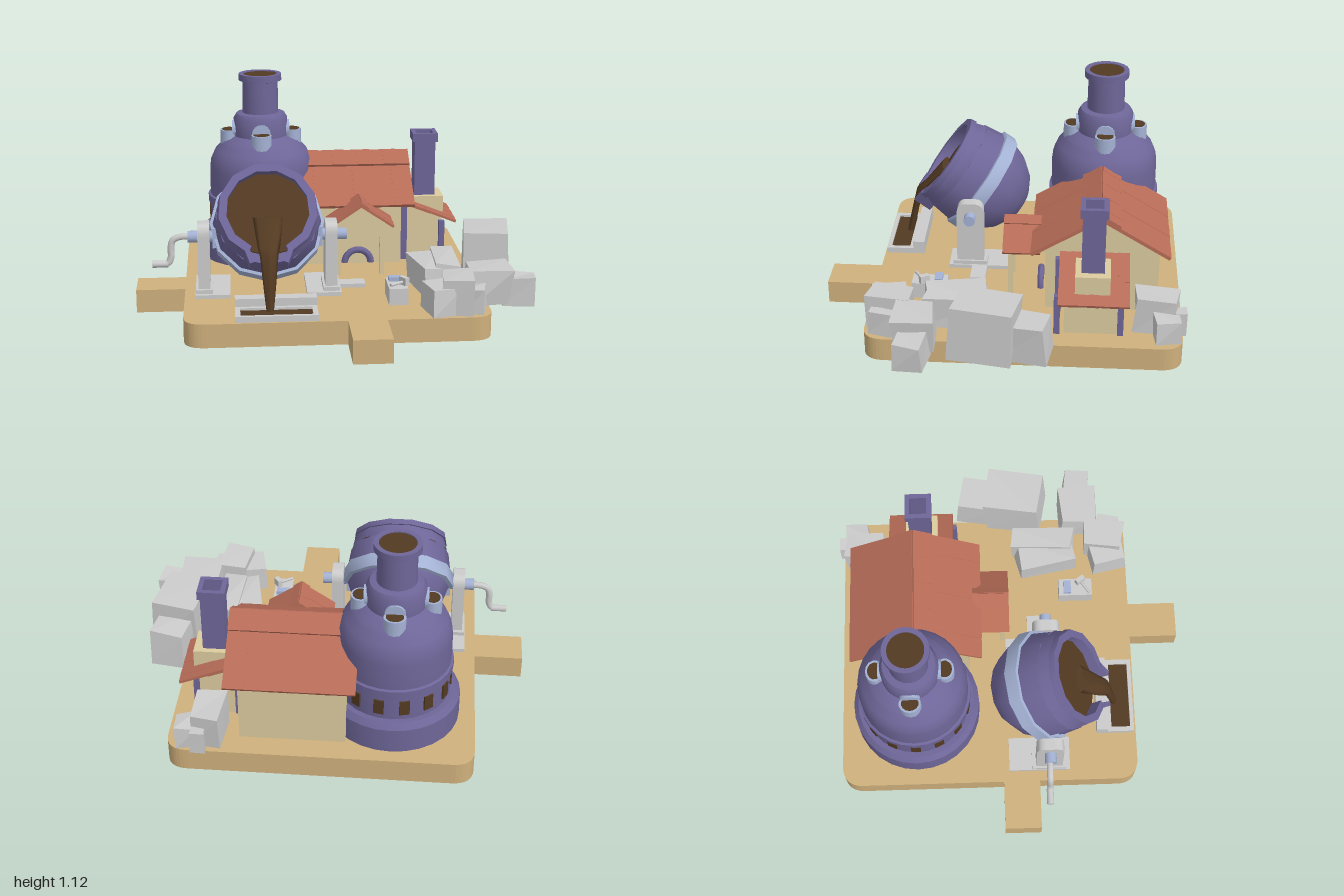
import * as THREE from 'three';
import { toCreasedNormals } from 'three/addons/utils/BufferGeometryUtils.js';

const mat = (color, flat = false) =>
  new THREE.MeshStandardMaterial({ color, side: THREE.DoubleSide, flatShading: flat });
const earth = mat(0xcfb07c), wall = mat(0xdccb9e), tile = mat(0xb86d58), iron = mat(0x6e6698);
const steel = mat(0xa4b2d4), slag = mat(0x533a22), grey = mat(0xcccccc), rock = mat(0xcccccc, true);
const V3 = (x, y, z) => new THREE.Vector3(x, y, z);
const V2 = (p) => p.map(([x, y]) => new THREE.Vector2(x, y));

function add(parent, name, geo, material, x = 0, y = 0, z = 0) {
  const m = new THREE.Mesh(geo, material);
  m.name = name;
  m.position.set(x, y, z);
  parent.add(m);
  return m;
}
function group(parent, name, x = 0, y = 0, z = 0) {
  const g = new THREE.Group();
  g.name = name;
  g.position.set(x, y, z);
  parent.add(g);
  return g;
}
// Box given by its limits on each axis
const block = (parent, name, material, x0, x1, y0, y1, z0, z1) =>
  add(parent, name, new THREE.BoxGeometry(x1 - x0, y1 - y0, z1 - z0), material,
    (x0 + x1) / 2, (y0 + y1) / 2, (z0 + z1) / 2);
const lathe = (pts, seg, start = 0, len = Math.PI * 2) =>
  toCreasedNormals(new THREE.LatheGeometry(V2(pts), seg, start, len), 0.6);
const extrude = (shape, depth) =>
  new THREE.ExtrudeGeometry(shape, { depth, bevelEnabled: false, curveSegments: 10 });

// Course of roof tiles, side by side along x, sloping from [z, y] to [z, y]
function tiles(parent, from, to, x0, x1, count, thick) {
  const dz = to[0] - from[0], dy = to[1] - from[1], w = (x1 - x0) / count;
  for (let i = 0; i < count; i++) {
    const t = thick * (i % 2 ? 1 : 0.8);
    const m = add(parent, 'roofTile', new THREE.BoxGeometry(w, t, Math.hypot(dz, dy)), tile,
      x0 + w * (i + 0.5), (from[1] + to[1]) / 2, (from[0] + to[0]) / 2);
    m.rotation.x = Math.atan2(-dy, dz);
  }
}

// Hollow ground slab with two path stubs
function buildGround(root) {
  const s = new THREE.Shape(), r = 0.11;
  s.moveTo(-0.75 + r, -0.9).lineTo(0.75 - r, -0.9).quadraticCurveTo(0.75, -0.9, 0.75, -0.9 + r);
  s.lineTo(0.75, 0.66 - r).quadraticCurveTo(0.75, 0.66, 0.75 - r, 0.66);
  for (const [x, z] of [[0.23, 0.66], [0.23, 0.915], [0.04, 0.915], [0.04, 0.66], [-0.75 + r, 0.66]]) s.lineTo(x, z);
  s.quadraticCurveTo(-0.75, 0.66, -0.75, 0.66 - r);
  for (const [x, z] of [[-0.75, 0.14], [-1, 0.14], [-1, -0.05], [-0.75, -0.05], [-0.75, -0.9 + r]]) s.lineTo(x, z);
  s.quadraticCurveTo(-0.75, -0.9, -0.75 + r, -0.9);
  const full = extrude(s, 0.12), side = full.groups[1], rim = new THREE.BufferGeometry();
  rim.setAttribute('position', new THREE.BufferAttribute(
    full.attributes.position.array.slice(side.start * 3, (side.start + side.count) * 3), 3));
  rim.computeVertexNormals();
  add(root, 'groundSides', rim.rotateX(Math.PI / 2), earth, 0, 0.12, 0);
  const top = new THREE.ShapeGeometry(s).scale(1, -1, 1).rotateX(-Math.PI / 2);
  const index = top.index.array;
  for (let i = 0; i < index.length; i += 3) [index[i], index[i + 1]] = [index[i + 1], index[i]];
  top.computeVertexNormals();
  if (top.attributes.normal.getY(0) < 0) top.attributes.normal.array.forEach((n, i, a) => { a[i] = -n; });
  add(root, 'groundTop', top, earth, 0, 0.12, 0);
}

// Tall smelting furnace
function buildFurnace(root) {
  const g = group(root, 'furnace', -0.34, 0, -0.5);
  add(g, 'furnaceBody', lathe([[0.33, 0.12], [0.33, 0.25], [0.305, 0.28], [0.278, 0.28], [0.278, 0.41], [0.29, 0.415],
    [0.29, 0.455], [0.278, 0.46], [0.278, 0.6], [0.272, 0.65], [0.25, 0.7], [0.215, 0.735], [0.205, 0.75], [0.145, 0.78],
    [0.145, 0.875], [0.13, 0.9], [0.097, 0.905], [0.095, 1.075], [0.115, 1.08], [0.115, 1.115], [0.09, 1.115],
    [0.088, 1.09]], 28), iron);
  add(g, 'furnaceMouth', new THREE.CylinderGeometry(0.09, 0.09, 0.01, 24), slag, 0, 1.105, 0);
  for (let i = 0; i < 14; i++) {
    const a = (i + 0.5) / 14 * Math.PI * 2;
    add(g, 'firePort', new THREE.BoxGeometry(0.05, 0.08, 0.02), slag, 0.274 * Math.sin(a), 0.35, 0.274 * Math.cos(a)).rotation.y = a;
  }
  for (let i = 0; i < 4; i++) {
    const v = group(g, 'vent');
    v.rotation.y = i * Math.PI / 2;
    add(v, 'ventPipe', new THREE.CylinderGeometry(0.055, 0.055, 0.14, 14).scale(1, 1, 0.85), steel, 0, 0.74, 0.172);
    add(v, 'ventHole', new THREE.CylinderGeometry(0.043, 0.043, 0.01, 14).scale(1, 1, 0.85), slag, 0, 0.808, 0.172);
    add(v, 'ventArch', new THREE.CylinderGeometry(0.05, 0.05, 0.05, 16).rotateX(Math.PI / 2), steel, 0, 0.81, 0.13);
  }
}

// Tilted pouring pot with its stands, crank, stream and mould
function buildLadle(root) {
  const g = group(root, 'pouringPot', -0.33, 0.595, 0.35);
  g.rotation.x = 0.955;
  const gap = 0.42, open = Math.PI * 2 - 2 * gap;
  add(g, 'potBody', lathe([[0, -0.5], [0.09, -0.485], [0.175, -0.435], [0.235, -0.36], [0.268, -0.27], [0.273, -0.2],
    [0.258, -0.09], [0.215, -0.09], [0.2, -0.12]], 12), iron);
  add(g, 'potRim', lathe([[0.258, -0.09], [0.24, -0.03], [0.25, -0.03], [0.245, 0], [0.205, 0], [0.215, -0.09]], 11, gap, open), iron);
  add(g, 'potBand', lathe([[0.26, -0.275], [0.288, -0.27], [0.288, -0.2], [0.265, -0.195]], 12), steel);
  add(g, 'moltenMetal', new THREE.CylinderGeometry(0.218, 0.218, 0.01, 12), slag, 0, -0.065, 0);
  for (const s of [-1, 1])
    add(g, 'spoutCheek', new THREE.BoxGeometry(0.025, 0.1, 0.08), iron, s * 0.095, -0.045, 0.235).rotation.y = -s * 0.35;

  // Stream narrows as it falls
  const path = [[0.35, 0.555, 0.075], [0.45, 0.435, 0.055], [0.492, 0.4, 0.045], [0.518, 0.29, 0.034], [0.535, 0.21, 0.026], [0.55, 0.14, 0.018]];
  const stream = new THREE.CylinderGeometry(1, 1, 5, 8, 5), p = stream.attributes.position;
  for (let i = 0; i < p.count; i++) {
    const [z, y, w] = path[Math.round(2.5 - p.getY(i))];
    p.setXYZ(i, p.getX(i) * w, y, z + p.getZ(i) * 0.018);
  }
  stream.computeVertexNormals();
  add(root, 'pouringStream', stream, slag, -0.33, 0, 0);

  // Stands and pivots
  const post = new THREE.Shape();
  post.moveTo(-0.07, 0).lineTo(0.07, 0).lineTo(0.07, 0.31).quadraticCurveTo(0.07, 0.37, 0.02, 0.37);
  post.lineTo(-0.02, 0.37).quadraticCurveTo(-0.07, 0.37, -0.07, 0.31);
  for (const [x, s] of [[-0.65, -1], [-0.01, 1]]) {
    const st = group(root, 'stand', x, 0, 0.19);
    add(st, 'standPost', extrude(post, 0.06).translate(0, 0, -0.03).rotateY(Math.PI / 2), grey, 0, 0.12, 0);
    block(st, 'standPlate', grey, -0.045 - (s > 0 ? 0.08 : 0), 0.05 + (s < 0 ? 0.08 : 0), 0.12, 0.14, -0.21, 0.11);
    block(st, 'standFoot', grey, -0.042, 0.042, 0.14, 0.16, -0.09, 0.09);
    add(st, 'pivot', new THREE.CylinderGeometry(0.03, 0.03, 0.2, 12).rotateZ(Math.PI / 2), steel, -s * 0.02, 0.415, 0);
    add(st, 'pivotBracket', new THREE.BoxGeometry(0.03, 0.1, 0.09), steel, -s * 0.06, 0.415, 0);
  }
  block(root, 'standExtension', grey, 0.04, 0.17, 0.12, 0.14, 0.1, 0.18);
  const crank = new THREE.CatmullRomCurve3([V3(-0.7, 0.415, 0.185), V3(-0.77, 0.413, 0.185), V3(-0.805, 0.395, 0.185),
    V3(-0.815, 0.35, 0.185), V3(-0.815, 0.31, 0.185), V3(-0.83, 0.277, 0.185), V3(-0.86, 0.27, 0.185)]);
  add(root, 'crank', new THREE.TubeGeometry(crank, 24, 0.017, 8), grey);
  add(root, 'crankGrip', new THREE.CylinderGeometry(0.018, 0.018, 0.08, 10).rotateZ(Math.PI / 2), grey, -0.87, 0.272, 0.185);

  // Casting mould
  block(root, 'mouldBack', grey, -0.5, -0.1, 0.12, 0.19, 0.45, 0.51);
  for (const [z0, z1] of [[0.51, 0.53], [0.63, 0.65]]) block(root, 'mouldLongSide', grey, -0.5, -0.1, 0.12, 0.15, z0, z1);
  for (const x of [-0.5, -0.125]) block(root, 'mouldEnd', grey, x, x + 0.025, 0.12, 0.15, 0.53, 0.63);
  block(root, 'mouldMetal', slag, -0.475, -0.125, 0.12, 0.138, 0.53, 0.63);
}

// Workshop with porch, lean-to and chimney
function buildHouse(root) {
  const g = group(root, 'workshop');
  const gable = new THREE.Shape(V2([[0.22, 0.12], [0.78, 0.12], [0.78, 0.47], [0.49, 0.65], [0.22, 0.48]]));
  add(g, 'workshopWalls', extrude(gable, 0.52).rotateY(Math.PI / 2), wall, -0.12, 0, 0);
  for (const s of [-1, 1]) {
    tiles(g, [-0.49, 0.66], [-0.49 + s * 0.34, 0.455], -0.17, 0.465, 6, 0.018);
    tiles(g, [-0.49, 0.678], [-0.49 + s * 0.095, 0.62], -0.17, 0.465, 9, 0.016);
  }

  // Porch: arched front, side walls and small gabled roof
  const front = new THREE.Shape(V2([[-0.125, 0.12], [-0.125, 0.4], [0, 0.49], [0.125, 0.4], [0.125, 0.12],
    [0.1, 0.12], [0.1, 0.3]]));
  front.absarc(0, 0.3, 0.1, 0, Math.PI, false);
  front.lineTo(-0.1, 0.12);
  add(g, 'porchFront', extrude(front, 0.025), wall, 0.165, 0, -0.05);
  for (const x of [0.042, 0.263]) block(g, 'porchBeam', wall, x, x + 0.025, 0.37, 0.4, -0.22, -0.03);
  const pr = group(g, 'porchRoof', 0.165, 0, 0);
  pr.rotation.y = Math.PI / 2;
  for (const s of [-1, 1]) {
    tiles(pr, [0, 0.5], [s * 0.17, 0.385], 0, 0.19, 4, 0.016);
    tiles(pr, [0, 0.513], [s * 0.04, 0.484], 0, 0.19, 3, 0.012);
  }
  add(g, 'doorArch', new THREE.TorusGeometry(0.07, 0.018, 6, 14, Math.PI), iron, 0.165, 0.135, -0.19);
  add(g, 'doorOpening', new THREE.CircleGeometry(0.065, 14, 0, Math.PI), wall, 0.165, 0.13, -0.212);

  // Lean-to and chimney
  const lean = new THREE.Shape(V2([[0.4, 0.12], [0.63, 0.12], [0.63, 0.34], [0.4, 0.43]]));
  add(g, 'leanToWalls', extrude(lean, 0.28), wall, 0, 0, -0.6);
  for (const z of [-0.61, -0.3]) {
    block(g, 'tallPost', iron, 0.405, 0.44, 0.12, 0.42, z, z + 0.03);
    block(g, 'shortPost', iron, 0.615, 0.645, 0.12, 0.33, z, z + 0.03);
  }
  const lr = group(g, 'leanToRoof');
  lr.rotation.y = Math.PI / 2;
  tiles(lr, [0.4, 0.44], [0.57, 0.375], 0.29, 0.635, 6, 0.018);
  tiles(lr, [0.54, 0.388], [0.71, 0.32], 0.29, 0.635, 7, 0.016);
  block(g, 'chimneyBase', wall, 0.46, 0.65, 0.34, 0.445, -0.54, -0.37);
  const square = (r) => V2([[-r, -r], [r, -r], [r, r], [-r, r]]);
  for (const [name, r, y, h] of [['chimneyShaft', 0.056, 0.445, 0.3], ['chimneyCap', 0.068, 0.745, 0.045]]) {
    const s = new THREE.Shape(square(r));
    s.holes.push(new THREE.Path(square(0.044)));
    add(g, name, extrude(s, h).rotateX(-Math.PI / 2), iron, 0.55, y, -0.455);
  }

  // Hammer on a work block
  block(root, 'workBlock', grey, 0.26, 0.355, 0.12, 0.205, 0.28, 0.46);
  const h = group(root, 'hammer', 0.305, 0.22, 0.42);
  h.rotation.y = 0.6;
  add(h, 'hammerHandle', new THREE.CylinderGeometry(0.008, 0.008, 0.09, 8).rotateZ(Math.PI / 2), grey);
  block(h, 'hammerHead', grey, 0.03, 0.055, -0.015, 0.025, -0.025, 0.025);
  block(root, 'ingot', steel, 0.27, 0.34, 0.205, 0.225, 0.305, 0.345);
}

// Piles of rough-cut boulders: x, z, width, depth, bottom, top, turn
function buildRocks(root) {
  let seed = 7;
  const rnd = () => (seed = (seed * 16807) % 2147483647) / 2147483647 - 0.5;
  const list = [
    [0.81, 0.05, 0.25, 0.31, 0.12, 0.39, -0.15], [0.83, -0.14, 0.17, 0.24, 0.12, 0.31, -0.2],
    [0.5, 0.21, 0.16, 0.31, 0.12, 0.27, 0.2], [0.575, 0.2, 0.11, 0.32, 0.12, 0.285, -0.05],
    [0.76, 0.4, 0.2, 0.19, 0.12, 0.29, 0.05], [0.91, 0.4, 0.16, 0.15, 0.1, 0.24, -0.1],
    [0.5, 0.55, 0.14, 0.17, 0.12, 0.25, 0.25], [0.59, 0.53, 0.15, 0.2, 0.12, 0.295, -0.15],
    [0.67, 0.56, 0.1, 0.12, 0.12, 0.24, -0.2],
    [0.55, -0.77, 0.14, 0.2, 0.12, 0.305, -0.08], [0.65, -0.82, 0.11, 0.12, 0.12, 0.24, 0.1],
    [0.585, -0.89, 0.07, 0.06, 0.12, 0.24, 0]];
  for (const [x, z, w, d, y0, y1, turn] of list) {
    const corners = {}, geo = new THREE.BoxGeometry(w, y1 - y0, d), p = geo.attributes.position;
    for (let i = 0; i < p.count; i++) {
      const v = [p.getX(i), p.getY(i), p.getZ(i)];
      const j = corners[v.map(Math.sign)] ??= [rnd(), rnd(), rnd()];
      p.setXYZ(i, v[0] + j[0] * w * 0.14, v[1] + (v[1] > 0 ? j[1] * 0.02 : 0), v[2] + j[2] * d * 0.14);
    }
    geo.computeVertexNormals();
    add(root, 'boulder', geo, rock, x, (y0 + y1) / 2, z).rotation.y = turn;
  }
}

export function createModel() {
  const root = new THREE.Group();
  root.name = 'smeltingYard';
  buildGround(root);
  buildFurnace(root);
  buildLadle(root);
  buildHouse(root);
  buildRocks(root);
  return root;
}
